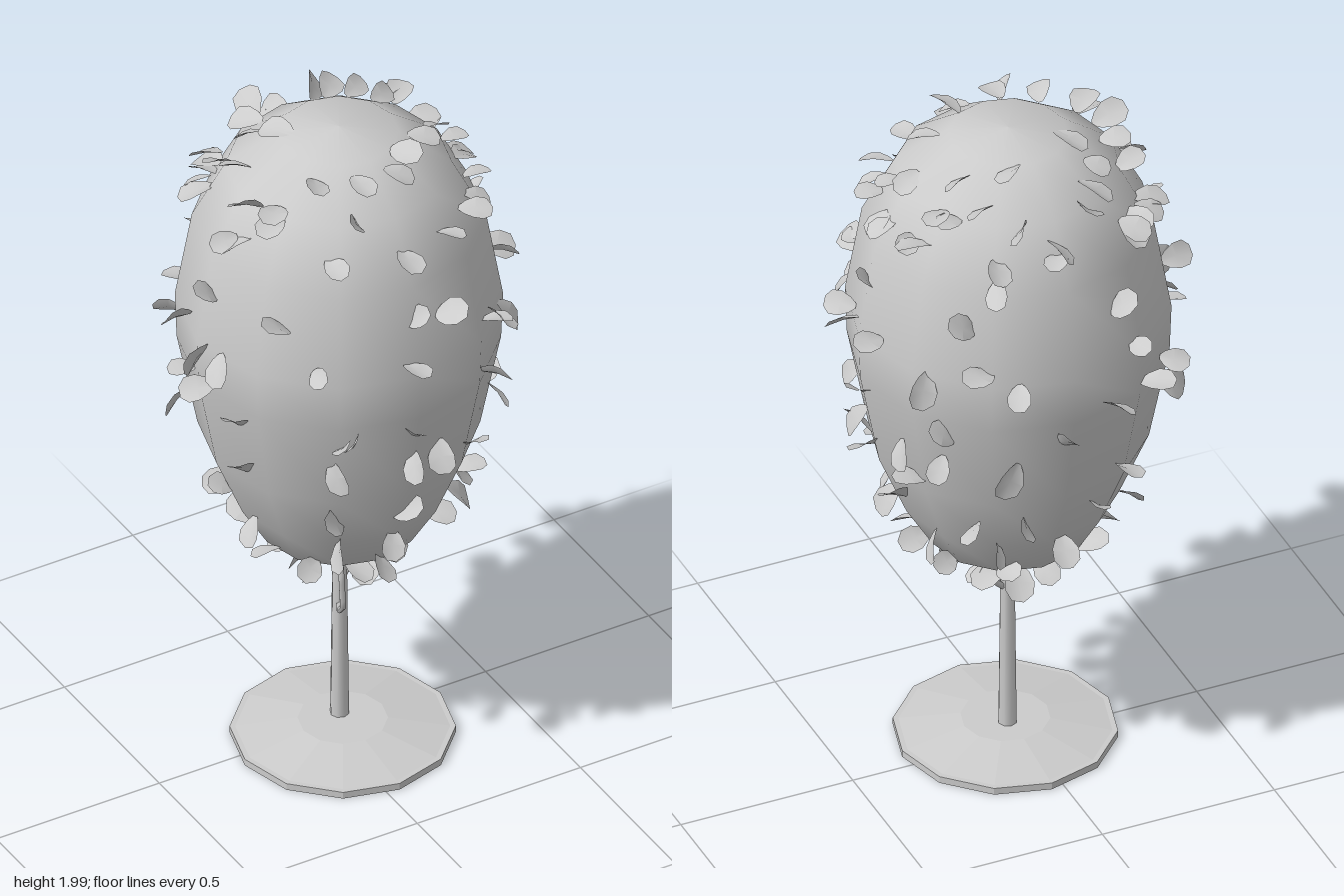
import * as THREE from 'three';

const material = new THREE.MeshStandardMaterial({ color: 0xcccccc });
const facetedMat = new THREE.MeshStandardMaterial({ color: 0xcccccc, flatShading: true });
const leafMat = new THREE.MeshStandardMaterial({ color: 0xcccccc, side: THREE.DoubleSide });

// Crown axis and outline (radius, height), bottom to top
const CX = 0.04, CZ = 0.018;
const crownProfile = [
  [0, 0.6], [0.1, 0.615], [0.22, 0.685], [0.295, 0.81], [0.375, 1.0], [0.43, 1.28],
  [0.435, 1.42], [0.39, 1.68], [0.3, 1.85], [0.16, 1.95], [0, 1.968],
];

function crownRadius(y) {
  for (let i = 1; i < crownProfile.length; i++) {
    const [r0, y0] = crownProfile[i - 1], [r1, y1] = crownProfile[i];
    if (y <= y1) return r0 + (r1 - r0) * (y - y0) / (y1 - y0);
  }
  return 0;
}

function crownHeight(r) {
  for (let i = crownProfile.length - 1; i > 0; i--) {
    const [r0, y0] = crownProfile[i], [r1, y1] = crownProfile[i - 1];
    if (r <= r1) return y0 + (y1 - y0) * (r - r0) / (r1 - r0);
  }
  return 1.4;
}

function seeded(seed) {
  return () => {
    seed = (seed * 16807) % 2147483647;
    return seed / 2147483647;
  };
}

function addMesh(parent, name, geometry, mat, x = 0, y = 0, z = 0) {
  const mesh = new THREE.Mesh(geometry, mat);
  mesh.name = name;
  mesh.position.set(x, y, z);
  parent.add(mesh);
  return mesh;
}

// Cupped leaf growing along +z from a narrow stem end, facing +y
function leafGeometry() {
  const g = new THREE.CircleGeometry(1, 10);
  g.rotateX(-Math.PI / 2);
  const p = g.attributes.position;
  for (let i = 0; i < p.count; i++) {
    const t = (p.getZ(i) + 1) / 2;
    const x = p.getX(i) * 0.048 * (0.5 + 0.6 * t);
    p.setXYZ(i, x, 6 * x * x - 0.025 * t * t, t * 0.105);
  }
  g.computeVertexNormals();
  return g;
}

// Rows of leaves: height, upward pitch, azimuths in degrees (0 = front, 90 = left)
const leafRows = [
  [1.85, 0.4, [-20, -75, -62, 80, 130, 165, -120, -160]],
  [1.77, 0.0, [-36, 0, 22, 43, 54, 67, 83, 92, 105, 118, 150, 180, -122, -130, -138, -75]],
  [1.57, 0.7, [-50, -3, 10, 90, 143, -161, -85]],
  [1.46, 0.1, [-40, -5, 35, 43, 80, 87, 102, 150, -152, -100]],
  [1.43, -0.5, [53, 125, -85, -78, 160]],
  [1.31, 0.1, [32, -95, -82, -131, -148, -167]],
  [1.21, 0.6, [-28, -24, -2, 135, 175, 88, -70]],
  [1.155, -0.75, [-33, 0, 13, 55, 85, 130, 110, 160, -113]],
  [1.04, 0.6, [33, 80, 87, 120, -70, -152]],
  [0.9, 0.5, [-28, -4, 45, 165, 100, -157, -90, 140]],
  [0.83, -0.6, [-30, 0, 48, 70, 115, -80, -125, 150, -175]],
  [0.7, 0.3, [-45, 0, 65, 80, 150, -150, -75, 115, -110]],
  [0.617, -0.1, [-20, 15, 50, 85, 115, 145, 175, -150, -115, -80, -50]],
];

// Leaves near the top, placed by (x, z)
const topLeaves = [
  [-0.23, -0.19], [-0.11, -0.13], [-0.07, -0.19], [0.08, -0.13], [0.18, -0.19], [0.2, -0.09],
  [-0.2, -0.03], [-0.07, -0.03], [-0.3, 0.07], [-0.21, 0.13], [-0.11, 0.14], [-0.02, 0.19],
  [0.07, 0.2], [0.12, 0.15], [0.2, 0.1], [0.29, 0.04], [0.29, -0.12], [-0.16, -0.25],
  [0.07, -0.3], [0.22, -0.3],
];

function addLeaves(group) {
  const random = seeded(421);
  const jitter = (amount) => (random() * 2 - 1) * amount;
  const geometry = leafGeometry();
  const addLeaf = (azimuth, radius, y, pitch, roll) => {
    const leaf = addMesh(group, 'leaf', geometry, leafMat,
      CX + Math.sin(azimuth) * radius, y, CZ + Math.cos(azimuth) * radius);
    leaf.rotation.set(-pitch + jitter(0.3), azimuth + jitter(0.7), jitter(roll), 'YXZ');
    leaf.scale.setScalar(0.75 + random() * 0.3);
  };
  for (const [y, pitch, azimuths] of leafRows) {
    const roll = y === 1.77 ? 0.4 : 1.2;
    for (const a of azimuths) addLeaf(THREE.MathUtils.degToRad(a), crownRadius(y) - 0.014, y, pitch, roll);
  }
  for (const [x, z] of topLeaves) {
    const r = Math.hypot(x - CX, z - CZ);
    addLeaf(Math.atan2(x - CX, z - CZ), r, crownHeight(r), 0.05, 0.7);
  }
}

function addBranch(group, points) {
  const path = new THREE.CurvePath();
  const v = points.map((p) => new THREE.Vector3(...p));
  for (let i = 1; i < v.length; i++) path.add(new THREE.LineCurve3(v[i - 1], v[i]));
  addMesh(group, 'branch', new THREE.TubeGeometry(path, 12, 0.009, 6), material);
}

export function createModel() {
  const model = new THREE.Group();

  // Round planter plate: rim, sloping top and flat centre
  const base = new THREE.Group();
  base.name = 'base';
  base.position.set(0.036, 0, 0.045);
  model.add(base);
  addMesh(base, 'baseRim', new THREE.CylinderGeometry(0.3, 0.3, 0.02, 12), facetedMat, 0, 0.01, 0);
  addMesh(base, 'baseTop', new THREE.CylinderGeometry(0.12, 0.285, 0.028, 12), facetedMat, 0, 0.034, 0);

  // Slim tapered trunk and two bent branches
  addMesh(model, 'trunk', new THREE.CylinderGeometry(0.019, 0.026, 0.62, 8), material, 0.041, 0.35, 0.02);
  addBranch(model, [[0.04, 0.405, 0.02], [0, 0.44, 0.09], [-0.018, 0.49, 0.14], [-0.03, 0.6, 0.152], [-0.03, 0.7, 0.14]]);
  addBranch(model, [[0.045, 0.48, 0.02], [0.085, 0.52, 0.005], [0.1, 0.57, 0], [0.1, 0.66, 0]]);

  // Smooth egg-shaped crown
  const profile = crownProfile.map(([r, y]) => new THREE.Vector2(r, y));
  addMesh(model, 'crown', new THREE.LatheGeometry(profile, 12), material, CX, 0, CZ);

  // Scattered leaves
  const leaves = new THREE.Group();
  leaves.name = 'leaves';
  model.add(leaves);
  addLeaves(leaves);

  return model;
}
